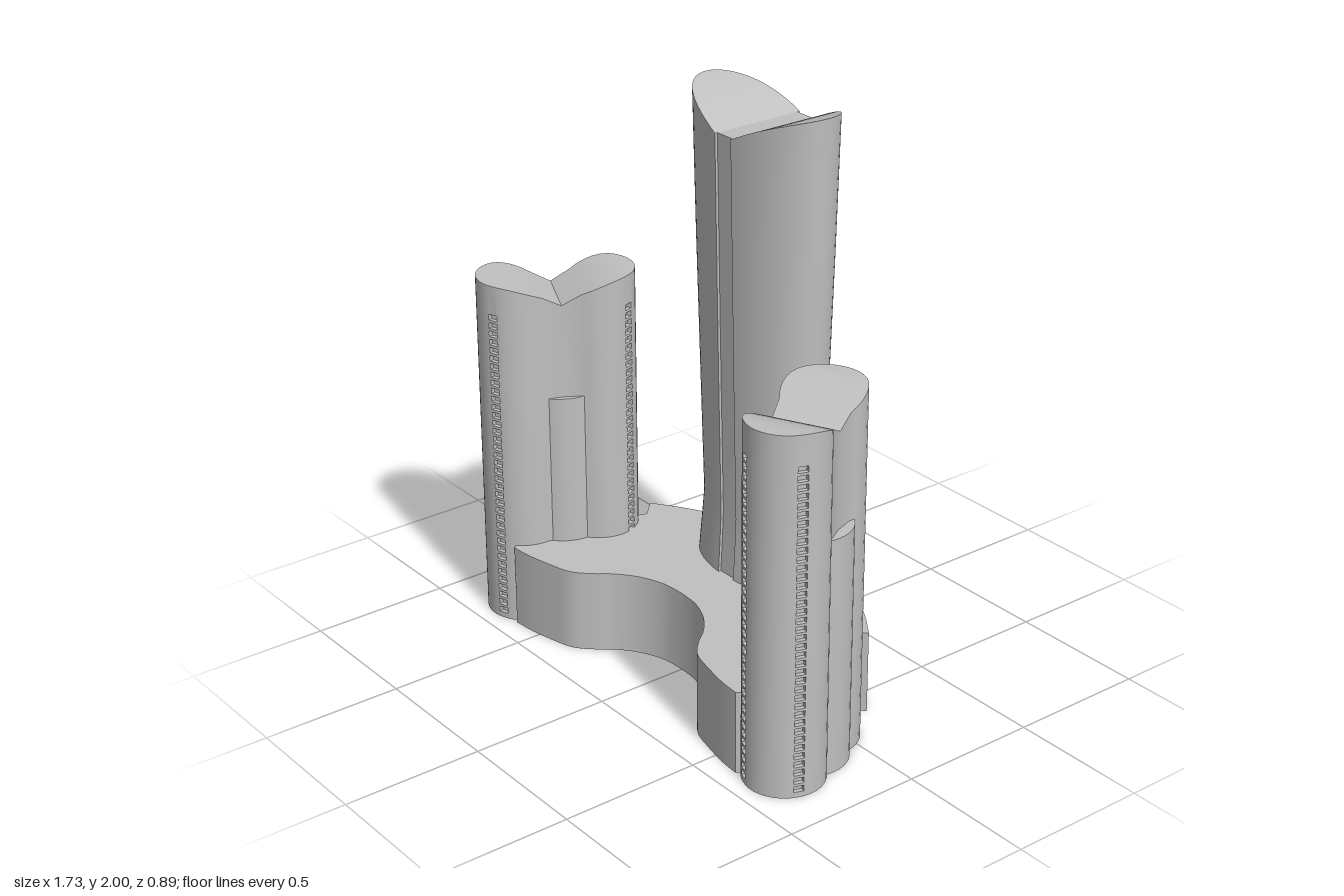
import * as THREE from 'three';
import { toCreasedNormals } from 'three/addons/utils/BufferGeometryUtils.js';

const stone = new THREE.MeshStandardMaterial({ color: 0xc0c0c0, side: THREE.DoubleSide });
stone.name = 'pale grey';

// Triangle collector with a quad helper
function surface() {
  const pos = [];
  const tri = (...pts) => pts.forEach((p) => pos.push(p[0], p[1], p[2]));
  return {
    quad(a, b, c, d) { tri(a, b, c); tri(a, c, d); },
    mesh(name, crease = 0.45) {
      const g = new THREE.BufferGeometry();
      g.setAttribute('position', new THREE.Float32BufferAttribute(pos, 3));
      const m = new THREE.Mesh(toCreasedNormals(g, crease), stone);
      m.name = name;
      return m;
    },
  };
}

function wall(s, lower, upper) {
  lower.forEach((p, i) => {
    const j = (i + 1) % lower.length;
    s.quad(p, lower[j], upper[j], upper[i]);
  });
}

// Saddle top joining the two mirrored halves of a ring made by ringOf
function saddleTop(s, ring) {
  const n = ring.length;
  for (let i = 0; i < n / 2 - 1; i++) s.quad(ring[i], ring[i + 1], ring[n - 2 - i], ring[n - 1 - i]);
}

// Half outline plus its mirrored other side
const ringOf = (half) => [...half, ...half.slice().reverse().map(([a, b]) => [a, -b])];

// Tall waisted tower, oval in plan with a shallow groove front and back
function makeTower() {
  const s = surface();
  const groove = 0.04;
  const section = (hx, hz) => {
    const oval = (x) => hz * Math.sqrt(Math.max(0, 1 - (x / hx) ** 2));
    const side = [];
    const end = Math.acos(groove / hx);
    for (let i = 0; i <= 14; i++) {
      const a = (end * i) / 14;
      side.push([-hx * Math.cos(a), hz * Math.sin(a)]);
    }
    side.push([-groove, oval(groove) - 0.01]);
    return ringOf([...side, ...side.slice().reverse().map(([x, z]) => [-x, z])]);
  };
  const crown = (x) => {
    const t = Math.max(0, (Math.abs(x) - groove) / 0.27);
    return 1.895 + 0.105 * (1.35 * t - 0.35 * t * t);
  };
  const levels = [[0, 0.305, 0.178], [0.15, 0.296, 0.17], [0.3, 0.287, 0.163], [0.43, 0.272, 0.156],
    [0.53, 0.261, 0.152], [1, 0.277, 0.162], [1.5, 0.295, 0.171], [2, 0.31, 0.178]];
  const rings = levels.map(([y, hx, hz]) =>
    section(hx, hz).map(([x, z]) => [x, y === 2 ? crown(x) : y, z - 0.195]));
  for (let k = 1; k < rings.length; k++) wall(s, rings[k - 1], rings[k]);
  saddleTop(s, rings[rings.length - 1]);
  return s.mesh('centralTower');
}

// Paired-round side tower with four columns of recessed windows
function makeSideTower() {
  const group = new THREE.Group();
  group.name = 'sideTower';
  const s = surface();
  const r = 0.139, len = 0.272, mid = len / 2;
  const angles = [0, 9.5, 19, 28.5, 37.8, 52.2, 62, 72, 82, 92, 101, 110, 119];
  const arc = angles.map((d) => (d * Math.PI) / 180);
  const half = [
    ...arc.map((a) => [len + r * Math.cos(a), r * Math.sin(a)]),
    [mid, 0.115],
    ...arc.slice().reverse().map((a) => [-r * Math.cos(a), r * Math.sin(a)]),
  ];
  const outline = ringOf(half);
  const place = ([a, t], y) => [0.607 + 0.434 * a + 0.9 * t, y, 0.06 + 0.9 * a - 0.434 * t];
  const roof = (a) => 1.19 + 0.085 * Math.sin(Math.min(1, Math.abs(a - mid) / 0.24) * Math.PI / 2);
  const lower = outline.map((p) => place(p, 0));
  const upper = outline.map((p) => place(p, roof(p[0])));
  const n = outline.length, h = half.length;
  const windowed = new Set([4, h - 6, n - 6, n - h + 4]);

  for (let i = 0; i < n; i++) {
    const j = (i + 1) % n;
    if (!windowed.has(i)) {
      s.quad(lower[i], lower[j], upper[j], upper[i]);
      continue;
    }
    // Wall strip with a ladder of small recesses
    const p = outline[i], q = outline[j];
    const near = p[0] > mid ? len : 0;
    const inset = ([a, t]) => [near + (a - near) * 0.89, t * 0.89];
    const pi = inset(p), qi = inset(q);
    let y = 0;
    for (let k = 0; k < 38; k++) {
      const y0 = 0.02 + k * 0.0305, y1 = y0 + 0.021;
      s.quad(place(p, y), place(q, y), place(q, y0), place(p, y0));
      const o = [place(p, y0), place(q, y0), place(q, y1), place(p, y1)];
      const b = [place(pi, y0), place(qi, y0), place(qi, y1), place(pi, y1)];
      s.quad(...b);
      for (let e = 0; e < 4; e++) s.quad(o[e], o[(e + 1) % 4], b[(e + 1) % 4], b[e]);
      y = y1;
    }
    s.quad(place(p, y), place(q, y), upper[j], upper[i]);
  }
  saddleTop(s, upper);
  group.add(s.mesh('towerShell'));

  // Lower round bay filling the waist
  const bayTop = 0.85;
  const bay = new THREE.Mesh(new THREE.CylinderGeometry(0.145, 0.145, bayTop, 40, 1, true), stone);
  bay.name = 'waistBay';
  bay.position.set(0.67, bayTop / 2, 0.168);
  const lid = new THREE.Mesh(new THREE.CircleGeometry(0.145, 40).rotateX(-Math.PI / 2), stone);
  lid.name = 'bayRoof';
  lid.position.set(0.67, bayTop, 0.168);
  group.add(bay, lid);
  return group;
}

// Crescent podium, open underneath
function makePodium() {
  const group = new THREE.Group();
  group.name = 'podium';
  const v = (x, z) => new THREE.Vector2(x, z);
  const front = new THREE.SplineCurve([v(0, 0.16), v(0.09, 0.168), v(0.18, 0.205), v(0.25, 0.26),
    v(0.3, 0.32), v(0.36, 0.37), v(0.45, 0.395), v(0.54, 0.413), v(0.62, 0.42)]).getPoints(28);
  const back = new THREE.SplineCurve([v(0.6, -0.16), v(0.5, -0.23), v(0.38, -0.293), v(0.25, -0.34)]).getPoints(8);
  const half = [...front, v(0.637, 0.4), v(0.7, 0.3), v(0.62, 0.06), v(0.55, -0.05), v(0.548, -0.08),
    v(0.54, -0.1), ...back, v(0.237, -0.32), v(0.25, -0.3), v(0.2, -0.25)];
  const ring = [...half.slice(1).reverse().map((p) => v(-p.x, p.y)), ...half];
  const s = surface();
  wall(s, ring.map((p) => [p.x, 0, p.y]), ring.map((p) => [p.x, 0.3, p.y]));
  group.add(s.mesh('podiumWall'));
  const deck = new THREE.ShapeGeometry(new THREE.Shape(ring.map((p) => v(p.x, -p.y))));
  const top = new THREE.Mesh(deck.rotateX(-Math.PI / 2), stone);
  top.name = 'podiumDeck';
  top.position.y = 0.3;
  group.add(top);
  return group;
}

export function createModel() {
  const model = new THREE.Group();
  model.name = 'towerComplex';
  const left = makeSideTower();
  left.name = 'leftTower';
  const right = makeSideTower();
  right.name = 'rightTower';
  right.scale.x = -1;

  // Arched canopy over the rear entrance
  const arch = new THREE.CylinderGeometry(0.302, 0.302, 0.11, 20, 1, true, Math.PI - 0.816, 1.632);
  const canopy = new THREE.Mesh(arch.rotateX(Math.PI / 2), stone);
  canopy.name = 'rearCanopy';
  canopy.position.set(0, 0.145 - 0.302, -0.39);

  model.add(makePodium(), makeTower(), left, right, canopy);
  return model;
}
